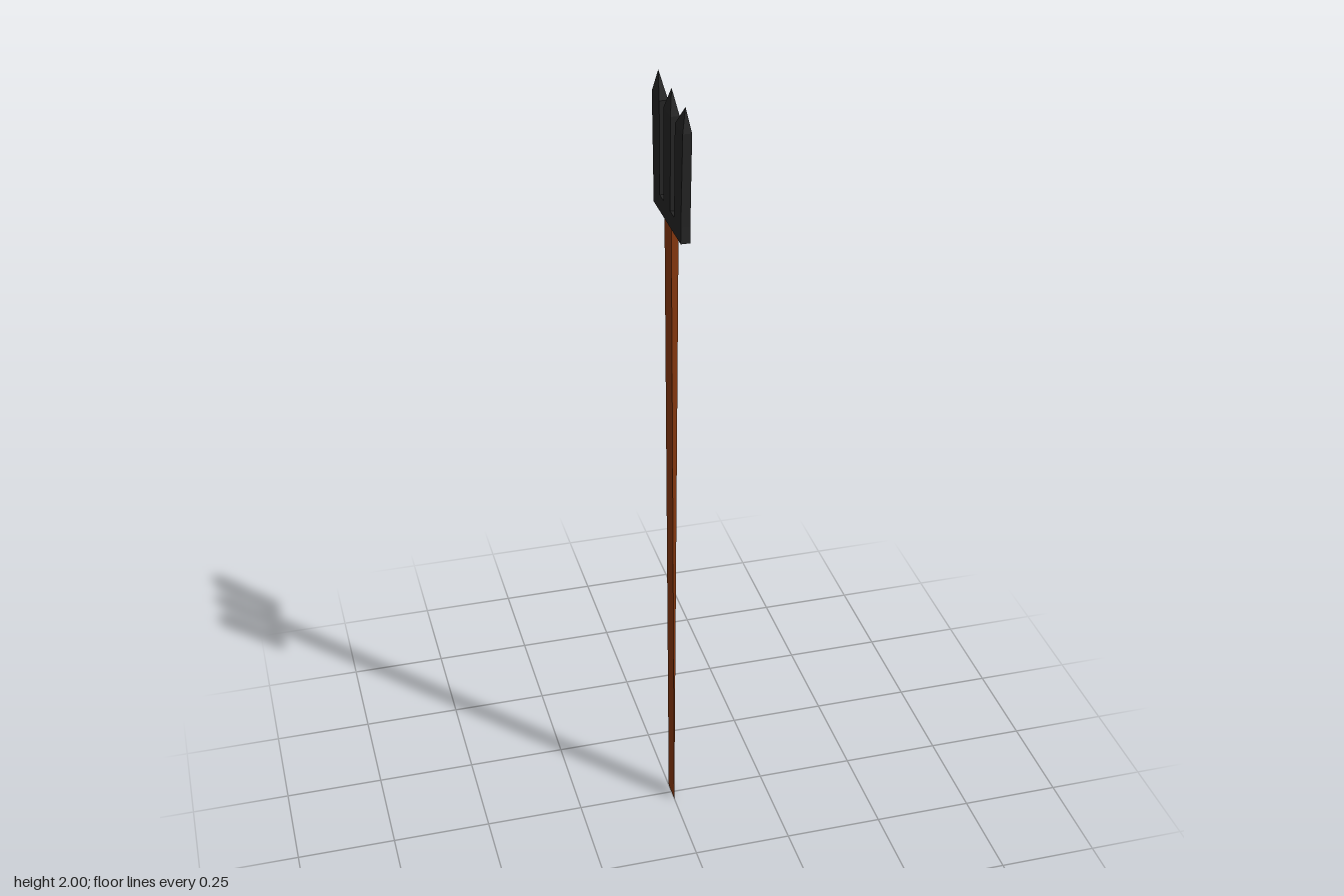
import * as THREE from 'three';

const iron = new THREE.MeshStandardMaterial({ color: 0x262626, flatShading: true });
const wood = new THREE.MeshStandardMaterial({ color: 0x8b3a10, flatShading: true });

// Four-sided loft through rings [y, half thickness in x, z min, z max], capped at both ends
function loft(name, rings, material) {
  const loops = rings.map(([y, x, z0, z1]) => [
    new THREE.Vector3(-x, y, z0), new THREE.Vector3(-x, y, z1),
    new THREE.Vector3(x, y, z1), new THREE.Vector3(x, y, z0),
  ]);
  const points = [];
  const tri = (a, b, c) => {
    if (new THREE.Triangle(a, b, c).getArea() > 1e-8) points.push(a, b, c);
  };
  const quad = (a, b, c, d) => { tri(a, b, c); tri(a, c, d); };
  for (let r = 0; r < loops.length - 1; r++) {
    for (let i = 0; i < 4; i++) {
      const j = (i + 1) % 4;
      quad(loops[r][i], loops[r][j], loops[r + 1][j], loops[r + 1][i]);
    }
  }
  const last = loops[loops.length - 1];
  quad(last[0], last[1], last[2], last[3]);
  quad(loops[0][3], loops[0][2], loops[0][1], loops[0][0]);
  const geometry = new THREE.BufferGeometry().setFromPoints(points);
  geometry.computeVertexNormals();
  const mesh = new THREE.Mesh(geometry, material);
  mesh.name = name;
  return mesh;
}

export function createModel() {
  const model = new THREE.Group();
  model.name = 'trident';

  // Flat shaft, thinning to an edge at the foot
  model.add(loft('shaft', [[0, 0, -0.029, 0.029], [1.68, 0.0085, -0.03, 0.03]], wood));

  // Fork head: crossbar, straight middle prong, two splayed outer prongs
  const head = new THREE.Group();
  head.name = 'head';
  head.add(loft('crossbar', [[1.68, 0.011, -0.12, 0.12], [1.72, 0.011, -0.12, 0.12]], iron));
  head.add(loft('middleProng', [
    [1.72, 0.011, -0.029, 0.029], [1.945, 0.0105, -0.03, 0.03], [2, 0, 0, 0],
  ], iron));
  for (const side of [1, -1]) {
    const ring = (y, x, inner, outer) =>
      side > 0 ? [y, x, inner, outer] : [y, x, -outer, -inner];
    head.add(loft(side > 0 ? 'frontProng' : 'backProng', [
      ring(1.72, 0.011, 0.063, 0.12), ring(1.945, 0.0105, 0.067, 0.132), ring(2, 0, 0.115, 0.115),
    ], iron));
  }
  model.add(head);
  return model;
}
